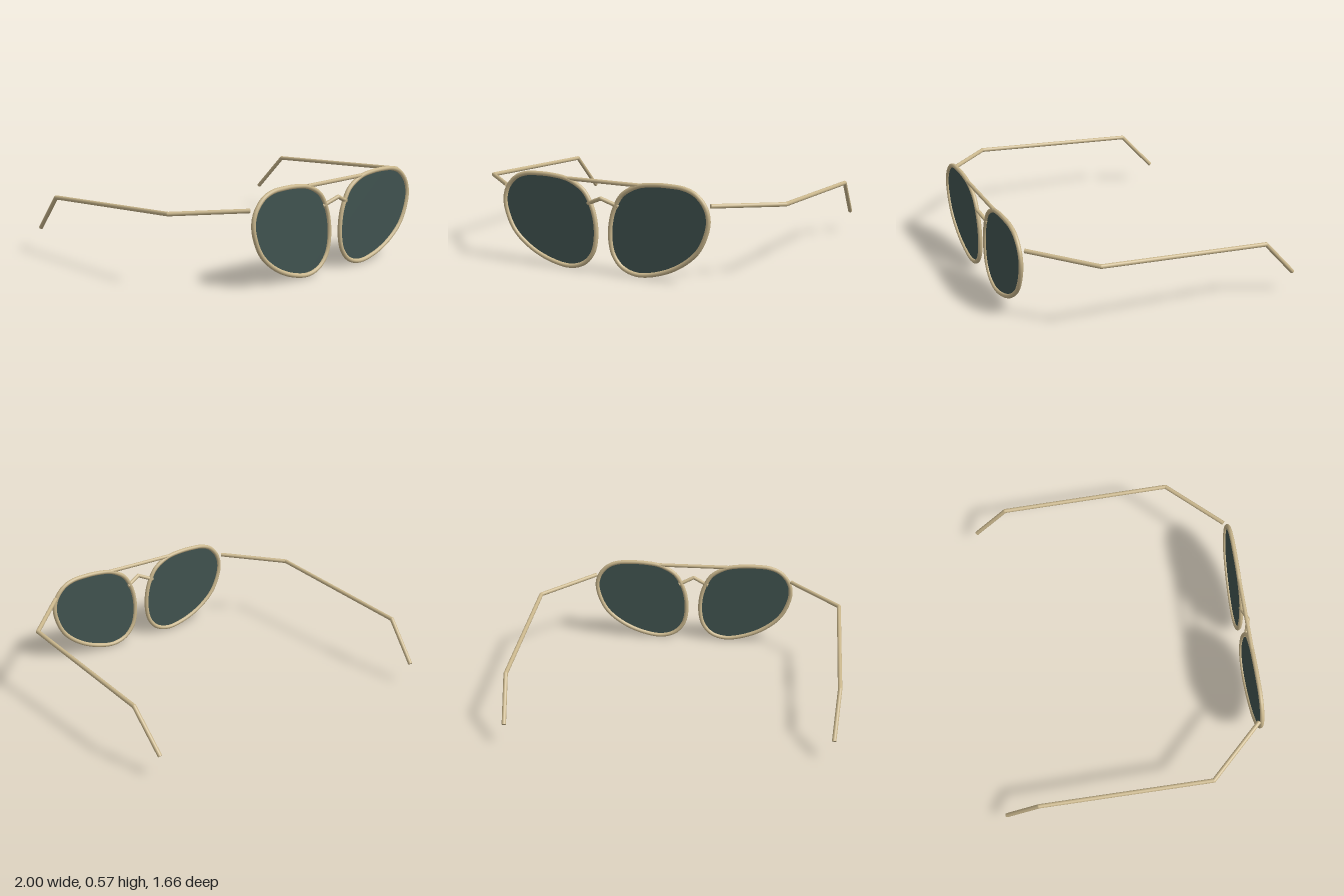
import * as THREE from 'three';

const gold = new THREE.MeshStandardMaterial({ color: 0xc9b68c });
gold.name = 'pale gold metal';
const glass = new THREE.MeshStandardMaterial({ color: 0x40524f, side: THREE.DoubleSide });
glass.name = 'dark green glass';

const WIRE = 0.0135;
const FRONT_Z = 0.793;

// Rim centre line of the lens on the +x side
const OUTLINE = [
  [0.438, 0.553], [0.33, 0.551], [0.225, 0.533], [0.128, 0.477], [0.08, 0.4], [0.053, 0.31],
  [0.048, 0.203], [0.07, 0.112], [0.128, 0.045], [0.224, 0.015], [0.358, 0.037], [0.49, 0.096],
  [0.598, 0.187], [0.651, 0.289], [0.667, 0.38], [0.646, 0.455], [0.587, 0.519], [0.518, 0.546],
];

function add(parent, name, geometry, material) {
  const mesh = new THREE.Mesh(geometry, material);
  mesh.name = name;
  parent.add(mesh);
  return mesh;
}

// Straight wire sections with a ball at every inner joint
function wire(name, coords, radius) {
  const group = new THREE.Group();
  group.name = name;
  const points = coords.map((c) => new THREE.Vector3(...c));
  for (let i = 1; i < points.length; i++) {
    const a = points[i - 1], b = points[i];
    const dir = b.clone().sub(a);
    const rod = add(group, name + 'Section', new THREE.CylinderGeometry(radius, radius, dir.length(), 16), gold);
    rod.position.copy(a).add(b).multiplyScalar(0.5);
    rod.quaternion.setFromUnitVectors(new THREE.Vector3(0, 1, 0), dir.normalize());
    if (i < points.length - 1) {
      add(group, name + 'Joint', new THREE.SphereGeometry(radius, 16, 12), gold).position.copy(b);
    }
  }
  return group;
}

export function createModel() {
  const model = new THREE.Group();
  model.name = 'sunglasses';

  for (const [side, s] of [['left', 1], ['right', -1]]) {
    // Rim and lens
    const curve = new THREE.CatmullRomCurve3(
      OUTLINE.map(([x, y]) => new THREE.Vector3(s * x, y, FRONT_Z)), true);
    add(model, side + 'Rim', new THREE.TubeGeometry(curve, 96, WIRE, 12, true), gold);
    const shape = new THREE.Shape(curve.getPoints(96).map((p) => new THREE.Vector2(p.x, p.y)));
    add(model, side + 'Lens', new THREE.ShapeGeometry(shape), glass).position.z = FRONT_Z;

    // Arm: hinge, corner, ear bend, tip
    model.add(wire(side + 'Arm', [
      [s * 0.67, 0.458, 0.77], [s * 0.987, 0.436, 0.443],
      [s * 0.987, 0.368, -0.612], [s * 0.963, 0.139, -0.821],
    ], 0.013));
  }

  // Brow bar and peaked nose bridge
  model.add(wire('browBar', [[-0.235, 0.54, FRONT_Z], [0.235, 0.54, FRONT_Z]], 0.012));
  model.add(wire('noseBridge', [
    [-0.1, 0.404, FRONT_Z - 0.003], [0, 0.447, 0.817], [0.1, 0.404, FRONT_Z - 0.003],
  ], 0.012));

  return model;
}
